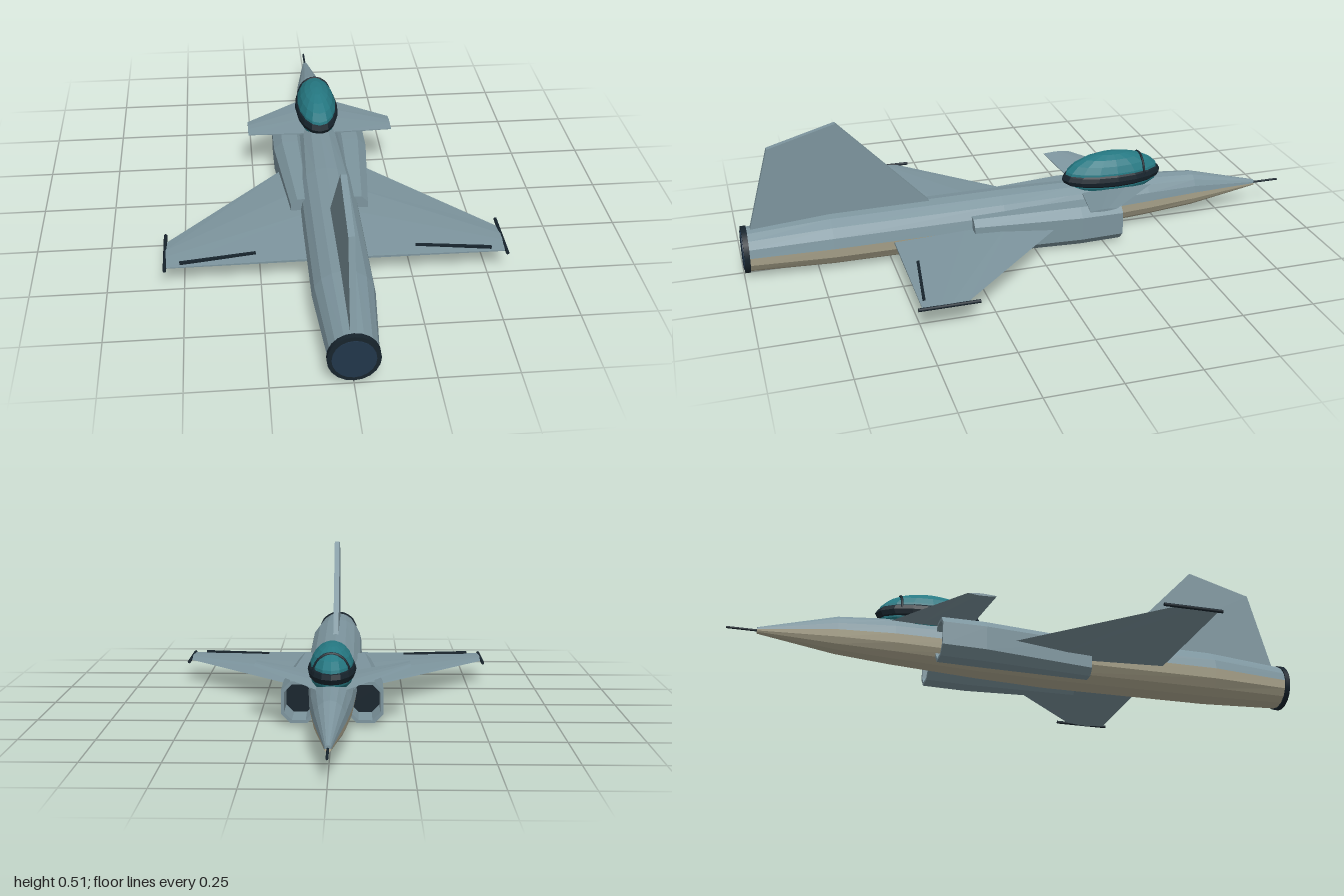
import * as THREE from 'three';

const mat = (name, color) => {
  const m = new THREE.MeshStandardMaterial({ color });
  m.name = name;
  return m;
};

// Faceted skin through rings of [x, y, z]; rings run counterclockwise seen from the last one
function loft(rings, { closed = true, caps = true } = {}) {
  const pos = [];
  const tri = (...pts) => pts.forEach((p) => pos.push(...p));
  const n = rings[0].length;
  for (let i = 0; i + 1 < rings.length; i++) {
    for (let j = 0; j < (closed ? n : n - 1); j++) {
      const k = (j + 1) % n;
      const a = rings[i][j], b = rings[i][k], c = rings[i + 1][k], d = rings[i + 1][j];
      tri(a, b, d);
      tri(b, c, d);
    }
  }
  if (caps) {
    const first = rings[0], last = rings[rings.length - 1];
    for (let j = 1; j + 1 < n; j++) {
      tri(first[0], first[j + 1], first[j]);
      tri(last[0], last[j], last[j + 1]);
    }
  }
  const g = new THREE.BufferGeometry();
  g.setAttribute('position', new THREE.Float32BufferAttribute(pos, 3));
  g.computeVertexNormals();
  return g;
}

// Rectangle with cut corners at depth z
const octagon = (x0, x1, y0, y1, c, z) => [
  [x1, y0 + c, z], [x1, y1 - c, z], [x1 - c, y1, z], [x0 + c, y1, z],
  [x0, y1 - c, z], [x0, y0 + c, z], [x0 + c, y0, z], [x1 - c, y0, z],
];

// Lens-shaped aerofoil section at span x
const aerofoil = (x, y, zLead, zTrail, t) => {
  const at = (f) => zLead + (zTrail - zLead) * f;
  return [
    [x, y, zLead], [x, y + t, at(0.35)], [x, y + t, at(0.6)], [x, y + t * 0.3, zTrail],
    [x, y - t * 0.3, zTrail], [x, y - t, at(0.6)], [x, y - t, at(0.35)],
  ];
};

export function createModel() {
  const grey = mat('hullGrey', 0x7d959e);
  const tan = mat('bellyTan', 0xb3ad94);
  const dark = mat('darkTrim', 0x17242d);
  const navy = mat('exhaustNavy', 0x21364a);
  const teal = mat('glassTeal', 0x257882);

  const root = new THREE.Group();
  root.name = 'jet';
  const add = (name, geo, material, x = 0, y = 0, z = 0) => {
    const m = new THREE.Mesh(geo, material);
    m.name = name;
    m.position.set(x, y, z);
    root.add(m);
    return m;
  };

  // Fuselage stations: z, half width, bottom, top
  const stations = [
    [-0.9, 0.01, 0.082, 0.104],
    [-0.64, 0.052, 0.042, 0.172],
    [-0.45, 0.071, 0.028, 0.186],
    [-0.15, 0.085, 0.012, 0.191],
    [0.1, 0.1, 0.005, 0.195],
    [0.7, 0.1, 0.008, 0.191],
    [0.985, 0.077, 0.018, 0.169],
  ];
  const arc = (start) => stations.map(([z, rx, y0, y1]) =>
    Array.from({ length: 9 }, (_, j) => {
      const a = start + (j / 8) * Math.PI;
      return [rx * Math.cos(a), (y0 + y1) / 2 + ((y1 - y0) / 2) * Math.sin(a), z];
    }));
  add('upperFuselage', loft(arc(0), { closed: false }), grey);
  add('belly', loft(arc(Math.PI), { closed: false }), tan);

  // Nose probe
  add('noseProbe', new THREE.CylinderGeometry(0.004, 0.004, 0.12, 8).rotateX(Math.PI / 2), dark, 0, 0.093, -0.94);

  // Exhaust nozzle
  add('nozzleRing', new THREE.CylinderGeometry(0.081, 0.081, 0.018, 20).rotateX(Math.PI / 2), dark, 0, 0.093, 0.988);
  add('nozzleDisc', new THREE.CylinderGeometry(0.067, 0.067, 0.006, 20).rotateX(Math.PI / 2), navy, 0, 0.093, 0.997);

  // Canopy: glass, dark sill and windscreen hoop
  const ellipsoid = (rx, ry, rz) => {
    const g = new THREE.SphereGeometry(1, 16, 10).scale(rx, ry, rz).toNonIndexed();
    g.computeVertexNormals();
    return g;
  };
  add('canopyGlass', ellipsoid(0.074, 0.086, 0.18), teal, 0, 0.205, -0.325);
  add('canopySill', ellipsoid(0.08, 0.05, 0.188), dark, 0, 0.204, -0.325);
  add('windscreenHoop', new THREE.TorusGeometry(1, 0.08, 6, 16, Math.PI).scale(0.059, 0.069, 0.06), dark, 0, 0.205, -0.43);

  // Tail fin
  const finSide = (x) => [[x, 0.12, 0.283], [x, 0.515, 0.66], [x, 0.45, 0.89], [x, 0.12, 0.98]];
  add('tailFin', loft([finSide(-0.01), finSide(0.01)]), grey);

  for (const s of [1, -1]) {
    const side = s > 0 ? 'left' : 'right';
    const surface = (rings) => loft(s > 0 ? rings : rings.reverse());

    // Main wing, tip rail and control-surface line
    add(side + 'Wing', surface([
      aerofoil(s * 0.05, 0.09, -0.17, 0.495, 0.014),
      aerofoil(s * 0.56, 0.09, 0.36, 0.5, 0.005),
    ]), grey);
    add(side + 'TipRail', new THREE.CylinderGeometry(0.006, 0.006, 0.2, 8).rotateX(Math.PI / 2), dark, s * 0.56, 0.09, 0.414);
    const line = add(side + 'ElevonLine', new THREE.BoxGeometry(0.25, 0.009, 0.009), dark, s * 0.388, 0.097, 0.468);
    line.rotation.y = -s * 0.14;

    // Raised foreplane
    add(side + 'Foreplane', surface([
      aerofoil(s * 0.04, 0.162, -0.47, -0.2, 0.008),
      aerofoil(s * 0.263, 0.194, -0.25, -0.153, 0.004),
    ]), grey);

    // Side intake with an open mouth
    const section = (x0, x1, y0, y1, c, z) =>
      s > 0 ? octagon(x0, x1, y0, y1, c, z) : octagon(-x1, -x0, y0, y1, c, z);
    add(side + 'Intake', loft([
      section(0.062, 0.158, 0.027, 0.143, 0.026, -0.2),
      section(0.062, 0.16, 0.025, 0.145, 0.026, -0.31),
      section(0.052, 0.17, 0.015, 0.155, 0.03, -0.31),
      section(0.052, 0.17, 0.012, 0.155, 0.03, -0.16),
      section(0.052, 0.133, 0.012, 0.147, 0.022, 0.22),
    ]), grey);
    add(side + 'IntakeDuct', loft([
      section(0.062, 0.158, 0.027, 0.143, 0.026, -0.206),
      section(0.062, 0.158, 0.027, 0.143, 0.026, -0.201),
    ]), dark);
  }
  return root;
}
